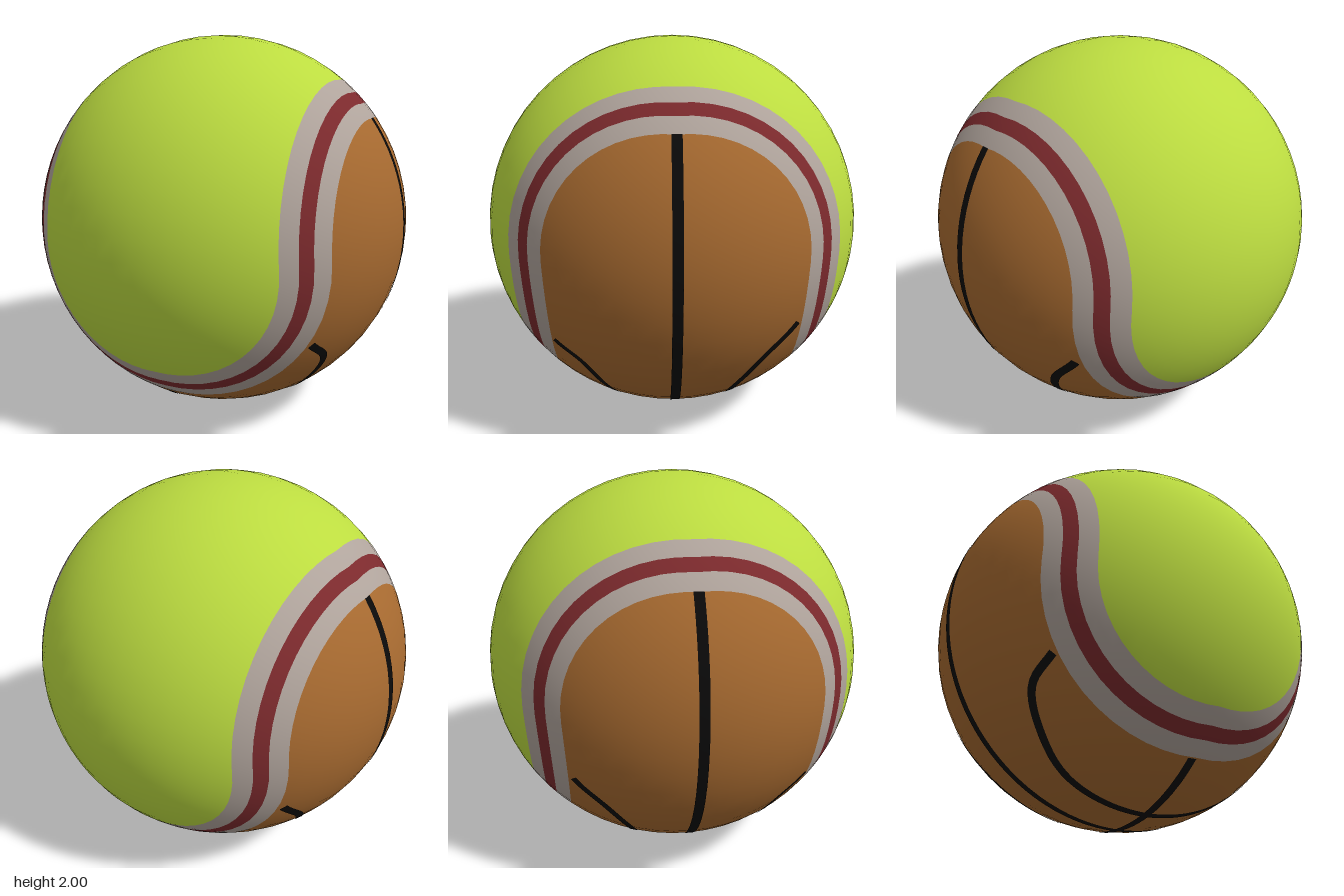
import * as THREE from 'three';

const RAD = Math.PI / 180;

function makeMaterial(name, color) {
  const m = new THREE.MeshStandardMaterial({ color });
  m.name = name;
  return m;
}

// Half of a spherical band around the local y axis (z >= 0), gently warped so the seam waves
function halfBand(from, to, rows) {
  const geo = new THREE.SphereGeometry(1, 28, rows, 0, Math.PI, from * RAD, (to - from) * RAD);
  const pos = geo.attributes.position;
  const v = new THREE.Vector3();
  for (let i = 0; i < pos.count; i++) {
    v.fromBufferAttribute(pos, i);
    const theta = Math.acos(THREE.MathUtils.clamp(v.y, -1, 1));
    const phi = Math.atan2(v.z, v.x);
    const rise = Math.asin(Math.min(1, Math.abs(Math.sin(phi))));
    const wave = (1.6 * Math.sin(2 * rise) - 1.8 * Math.sin(rise) ** 2) * RAD;
    const t = theta + wave * Math.sin(2 * theta);
    v.set(Math.sin(t) * Math.cos(phi), Math.cos(t), Math.sin(t) * Math.sin(phi));
    pos.setXYZ(i, v.x, v.y, v.z);
    geo.attributes.normal.setXYZ(i, v.x, v.y, v.z);
  }
  return geo;
}

// Thin painted line that follows points over the sphere
function groove(points, halfWidth) {
  const curve = new THREE.CatmullRomCurve3(points.map((p) => new THREE.Vector3(...p).normalize()));
  const steps = 72, verts = [], normals = [], index = [];
  for (let i = 0; i <= steps; i++) {
    const p = curve.getPointAt(i / steps).normalize();
    const side = curve.getTangentAt(i / steps).cross(p).normalize();
    for (const s of [-1, 1]) {
      const q = p.clone().addScaledVector(side, s * halfWidth).normalize();
      normals.push(q.x, q.y, q.z);
      q.multiplyScalar(1.002);
      verts.push(q.x, q.y, q.z);
    }
    const a = 2 * i;
    if (i < steps) index.push(a, a + 1, a + 2, a + 1, a + 3, a + 2);
  }
  const geo = new THREE.BufferGeometry();
  geo.setAttribute('position', new THREE.Float32BufferAttribute(verts, 3));
  geo.setAttribute('normal', new THREE.Float32BufferAttribute(normals, 3));
  geo.setIndex(index);
  return geo;
}

// Points of a circular arc, in degrees
function arc(from, to, place) {
  return Array.from({ length: 17 }, (_, i) => {
    const a = (from + ((to - from) * i) / 16) * RAD;
    return place(Math.cos(a), Math.sin(a));
  });
}

export function createModel() {
  const green = makeMaterial('feltGreen', 0xbcdc40);
  const brown = makeMaterial('leatherBrown', 0xa76a30);
  const grey = makeMaterial('seamGrey', 0xb0a49c);
  const red = makeMaterial('stitchRed', 0x7c2a2d);
  const black = makeMaterial('grooveBlack', 0x0b0a0a);

  const model = new THREE.Group();
  model.name = 'ball';
  const add = (name, geo, mat, parent) => {
    const mesh = new THREE.Mesh(geo, mat);
    mesh.name = name;
    parent.add(mesh);
  };

  // Each hemisphere: a cap at both ends of its axis, seam bands, and a wide middle
  const g = 7.4, r = 2.1;
  const hemisphere = (name, matrix, capName, capMat, midName, midMat) => {
    const half = new THREE.Group();
    half.name = name;
    const part = (n, from, to, rows, mat) =>
      add(n, halfBand(from, to, rows).applyMatrix4(matrix), mat, half);
    part(capName, 0, 45 - g, 7, capMat);
    part(capName, 135 + g, 180, 7, capMat);
    for (const c of [45, 135]) {
      part('seamEdge', c - g, c - r, 1, grey);
      part('seamStitch', c - r, c + r, 1, red);
      part('seamEdge', c + r, c + g, 1, grey);
    }
    part(midName, 45 + g, 135 - g, 14, midMat);
    half.position.y = 1;
    model.add(half);
  };
  const V = (x, y, z) => new THREE.Vector3(x, y, z);
  const upper = new THREE.Matrix4().makeBasis(V(0, 0, 1), V(1, 0, 0), V(0, 1, 0));
  const lower = new THREE.Matrix4().makeRotationX(Math.PI / 2);
  hemisphere('upperHalf', upper, 'leatherSide', brown, 'feltTop', green);
  hemisphere('lowerHalf', lower, 'feltEnd', green, 'leatherBottom', brown);

  // Black grooves on the leather
  const lines = new THREE.Group();
  lines.name = 'grooves';
  lines.position.y = 1;
  model.add(lines);
  add('sideToSideGroove', groove(arc(36, -216, (c, s) => [c, s, 0]), 0.024), black, lines);
  add('frontToBackGroove', groove(arc(-51, -129, (c, s) => [-0.02, s, c]), 0.022), black, lines);

  // Curved grooves, mirrored left to right
  const mirrored = (pts, mid) =>
    [...pts, mid, ...pts.slice().reverse().map(([x, y, z]) => [-x, y, z])];
  const front = [[0.70, -0.41, 0.58], [0.73, -0.52, 0.45], [0.62, -0.7, 0.35], [0.45, -0.85, 0.28]];
  const back = [[0.76, -0.31, -0.575], [0.77, -0.48, -0.42], [0.65, -0.7, -0.3], [0.34, -0.9, -0.27]];
  add('frontCurvedGroove', groove(mirrored(front, [0, -0.96, 0.26]), 0.02), black, lines);
  add('backCurvedGroove', groove(mirrored(back, [0, -0.96, -0.27]), 0.022), black, lines);

  return model;
}
